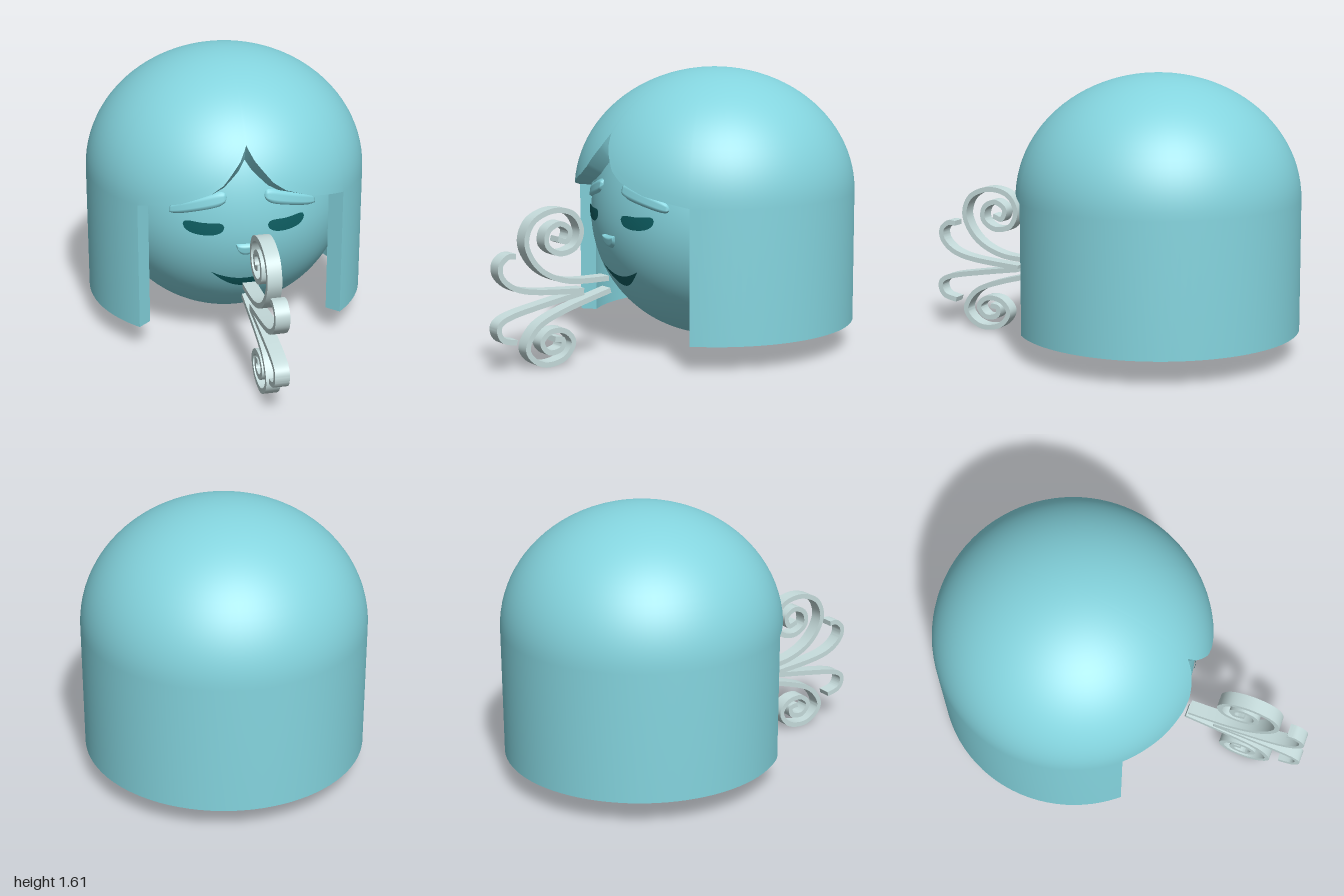
import * as THREE from 'three';
import { toCreasedNormals } from 'three/addons/utils/BufferGeometryUtils.js';

const rad = THREE.MathUtils.degToRad;
const teal = new THREE.MeshStandardMaterial({ color: 0x84d4de, side: THREE.DoubleSide });
teal.name = 'soft teal';
const dark = new THREE.MeshStandardMaterial({ color: 0x0d5f63, side: THREE.DoubleSide });
dark.name = 'deep teal';
const pale = new THREE.MeshStandardMaterial({ color: 0xc6dcdc });
pale.name = 'pale mist';

const HEAD_R = 0.72, HEAD_Y = 0.77, HEAD_TOP = 0.8;
const DOME_Y = 0.9, HAIR_BOTTOM = 0.145, OPENING = 46;

function mesh(name, geometry, material) {
  const m = new THREE.Mesh(geometry, material);
  m.name = name;
  return m;
}

// Height of the fringe edge, by degrees away from the parting
const FRINGE = [[0, 1.265], [3, 1.19], [6.5, 1.13], [10, 1.07], [15, 1.02], [27, 0.955], [46, 0.9]];
function fringe(deg) {
  const a = Math.abs(deg);
  for (let i = 1; i < FRINGE.length; i++) {
    const [a0, y0] = FRINGE[i - 1], [a1, y1] = FRINGE[i];
    if (a <= a1) return y0 + (y1 - y0) * (a - a0) / (a1 - a0);
  }
  return DOME_Y;
}

// Thick bob: one closed cross-section per angle, swept round, stepping up at the opening
function hairGeometry() {
  const columns = [];
  for (let a = -OPENING; a <= OPENING; a += 1) columns.push([a, true]);
  for (let a = OPENING; a <= 360 - OPENING; a += 4 - (a > 300 ? 2 : 0)) columns.push([a, false]);
  if (columns[columns.length - 1][0] !== 360 - OPENING) columns.push([360 - OPENING, false]);
  columns.push([-OPENING, true]);

  const rows = 24, pos = [], index = [];
  const side = (deg, yb, R, h) => {
    const t0 = yb > DOME_Y ? Math.asin((yb - DOME_Y) / h) : 0;
    const pts = [[R * Math.cos(t0), yb]];
    for (let k = 0; k <= rows; k++) {
      const t = t0 + (Math.PI / 2 - t0) * k / rows;
      pts.push([R * Math.cos(t), DOME_Y + h * Math.sin(t)]);
    }
    return pts;
  };
  for (const [deg, front] of columns) {
    const yOut = front ? fringe(deg) : HAIR_BOTTOM;
    const yIn = front ? DOME_Y + (yOut - DOME_Y) * 0.73 : HAIR_BOTTOM;
    const ring = [...side(deg, yOut, 0.815, 0.71), ...side(deg, yIn, 0.72, 0.62).reverse()];
    for (const [r, y] of ring) pos.push(r * Math.sin(rad(deg)), y, r * Math.cos(rad(deg)));
  }
  const n = 2 * (rows + 2);
  for (let i = 0; i < columns.length - 1; i++) {
    for (let j = 0; j < n; j++) {
      const k = (j + 1) % n;
      const a = i * n + j, b = a + n, c = (i + 1) * n + k, d = i * n + k;
      index.push(a, b, c, a, c, d);
    }
  }
  const g = new THREE.BufferGeometry();
  g.setAttribute('position', new THREE.Float32BufferAttribute(pos, 3));
  g.setIndex(index);
  return toCreasedNormals(g, rad(35));
}

// Round head, a little taller above its middle
function headGeometry() {
  const g = new THREE.SphereGeometry(HEAD_R, 72, 48);
  const p = g.attributes.position;
  for (let i = 0; i < p.count; i++) if (p.getY(i) > 0) p.setY(i, p.getY(i) * HEAD_TOP / HEAD_R);
  g.translate(0, HEAD_Y, 0);
  g.computeVertexNormals();
  return g;
}

function headRadius(y) {
  const t = (y - HEAD_Y) / (y > HEAD_Y ? HEAD_TOP : HEAD_R);
  return HEAD_R * Math.sqrt(1 - t * t);
}

// Patch wrapped on the face: centre and half width in degrees, edges as functions of u in -1..1
function facePatch(centre, half, top, bottom, lift, edgeLift = lift) {
  const nu = 32, nv = 6;
  const g = new THREE.PlaneGeometry(2, 1, nu, nv);
  const p = g.attributes.position;
  for (let i = 0; i < p.count; i++) {
    const u = p.getX(i), v = p.getY(i) + 0.5;
    const y = bottom(u) + (top(u) - bottom(u)) * v;
    const edge = Math.abs(u) > 0.999 || v < 0.001 || v > 0.999;
    const r = headRadius(y) + (edge ? edgeLift : lift);
    const a = rad(centre + half * u);
    p.setXYZ(i, r * Math.sin(a), y, r * Math.cos(a));
  }
  g.computeVertexNormals();
  return g;
}

// Curled strip: a path of [z, y] points thickened, then given width
const BREATH_YAW = 38.5, BREATH_Z = 0.43;
function ribbonGeometry(path) {
  const curve = new THREE.SplineCurve(path.map(([z, y]) =>
    new THREE.Vector2((z - BREATH_Z) / Math.cos(rad(BREATH_YAW)), y)));
  const n = path.length * 7, left = [], right = [];
  for (let i = 0; i <= n; i++) {
    const p = curve.getPoint(i / n), t = curve.getTangent(i / n);
    const off = new THREE.Vector2(-t.y, t.x).multiplyScalar(0.015);
    left.push(p.clone().add(off));
    right.unshift(p.clone().sub(off));
  }
  const g = new THREE.ExtrudeGeometry(new THREE.Shape([...left, ...right]),
    { depth: 0.08, bevelEnabled: false });
  g.translate(0, 0, -0.04);
  return toCreasedNormals(g, rad(40));
}

const CURLS = {
  upperCurl: [[0.43, 0.455], [0.635, 0.47], [0.775, 0.55], [0.845, 0.69], [0.815, 0.815], [0.716, 0.87],
    [0.615, 0.845], [0.57, 0.75], [0.6, 0.655], [0.68, 0.63], [0.743, 0.68], [0.737, 0.76], [0.68, 0.795],
    [0.63, 0.755], [0.645, 0.695], [0.69, 0.71]],
  upperHook: [[0.56, 0.405], [0.785, 0.43], [0.9, 0.465], [0.965, 0.53], [0.975, 0.6], [0.94, 0.645], [0.9, 0.645]],
  lowerHook: [[0.56, 0.395], [0.76, 0.355], [0.91, 0.32], [0.975, 0.285], [0.985, 0.235], [0.96, 0.19], [0.9, 0.17]],
  lowerCurl: [[0.42, 0.385], [0.65, 0.31], [0.785, 0.24], [0.845, 0.135], [0.82, 0.06], [0.75, 0.018],
    [0.66, 0.04], [0.615, 0.12], [0.655, 0.19], [0.73, 0.2], [0.775, 0.145], [0.74, 0.085], [0.68, 0.095],
    [0.67, 0.145], [0.71, 0.155]],
};

export function createModel() {
  const model = new THREE.Group();
  model.name = 'blowingHead';

  const head = new THREE.Group();
  head.name = 'head';
  head.position.set(-0.045, 0, -0.18);
  head.rotation.y = rad(35.2);
  model.add(head);
  head.add(mesh('hair', hairGeometry(), teal), mesh('face', headGeometry(), teal));

  // Neck stub, leaning back under the head
  const neckProfile = [[0, -0.72], [0.175, -0.72], [0.185, -0.712], [0.2, -0.695], [0.23, -0.683], [0.27, -0.66]];
  const neck = mesh('neck', toCreasedNormals(
    new THREE.LatheGeometry(neckProfile.map(([x, y]) => new THREE.Vector2(x, y)), 48), rad(40)), teal);
  neck.position.y = HEAD_Y;
  neck.rotation.x = rad(13);
  head.add(neck);

  // Eyes and brows, mirrored
  const round = (u, k) => Math.pow(Math.max(0, 1 - Math.pow(Math.abs(u), k)), 0.5);
  for (const s of [-1, 1]) {
    const side = s > 0 ? 'left' : 'right';
    const eyeMid = u => 0.782 + 0.018 * u * u + 0.005 * s * u;
    head.add(mesh(side + 'Eye', facePatch(s * 19, 9.3,
      u => eyeMid(u) + 0.037 * round(u, 4), u => eyeMid(u) - 0.037 * round(u, 4), 0.007), dark));
    const browMid = u => 0.92 - 0.045 * s * u;
    const browHalf = u => (0.041 - 0.006 * s * u) * round(u, 6);
    head.add(mesh(side + 'Brow', facePatch(s * 22, 13.5,
      u => browMid(u) + browHalf(u), u => browMid(u) - browHalf(u), 0.015, -0.004), teal));
  }

  // Nose and smile
  head.add(mesh('nose', facePatch(0, 4.4, () => 0.69, u => 0.69 - 0.076 * round(u, 2), 0.02, -0.004), teal));
  head.add(mesh('mouth', facePatch(0, 16, u => 0.45 + 0.05 * u * u, u => 0.39 + 0.11 * u * u, 0.007), dark));

  // Curling breath
  const breath = new THREE.Group();
  breath.name = 'breath';
  breath.position.set(0.4, 0, BREATH_Z);
  breath.rotation.y = rad(BREATH_YAW - 90);
  for (const [name, path] of Object.entries(CURLS)) breath.add(mesh(name, ribbonGeometry(path), pale));
  model.add(breath);

  return model;
}
